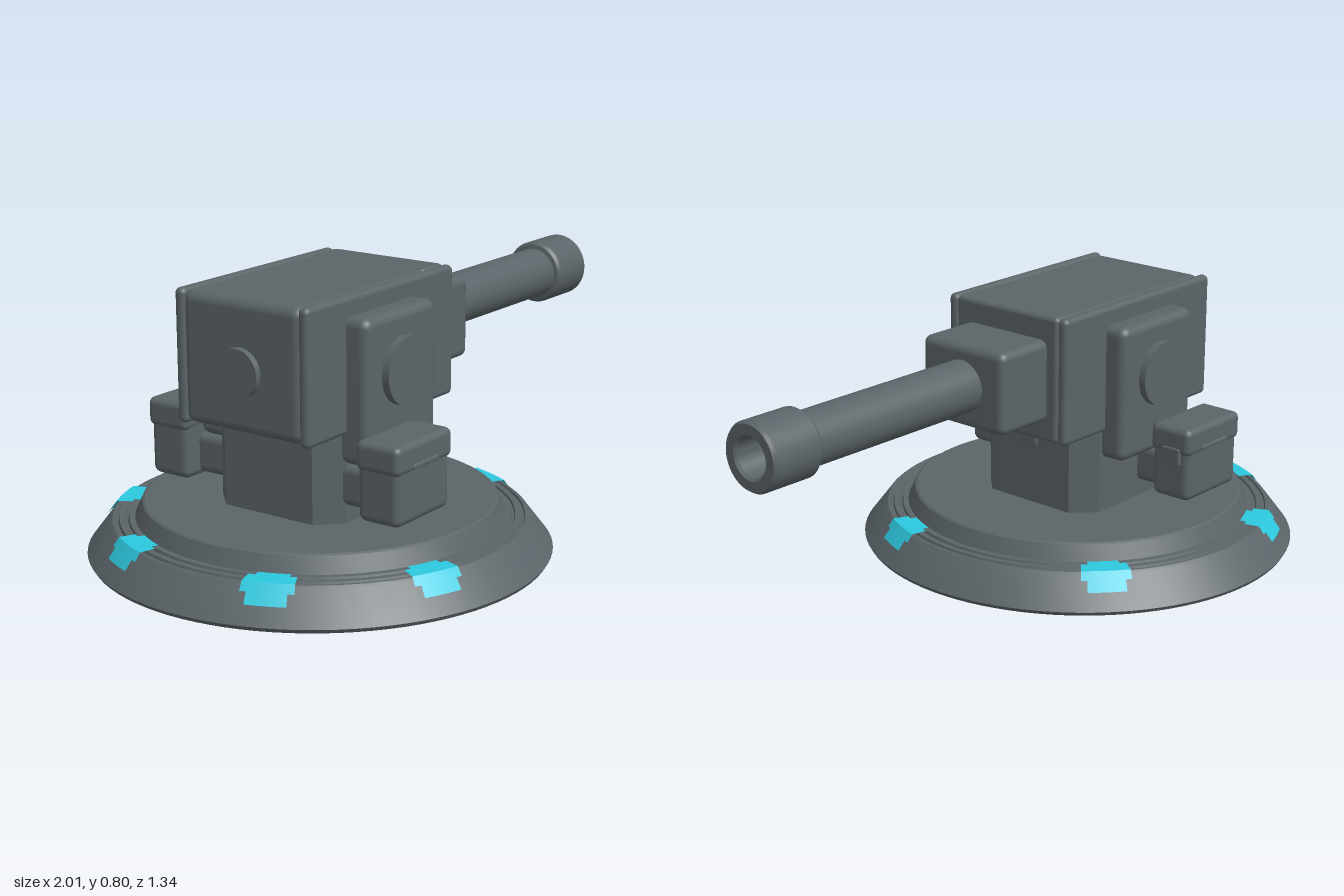
import * as THREE from 'three';
import { toCreasedNormals } from 'three/addons/utils/BufferGeometryUtils.js';
import { RoundedBoxGeometry } from 'three/addons/geometries/RoundedBoxGeometry.js';

export function createModel() {
  const model = new THREE.Group();
  model.name = 'gunTurret';
  const cx = -0.34; // turret axis
  const metal = new THREE.MeshStandardMaterial({ color: 0x5b6468 });
  metal.name = 'grey metal';
  const glow = new THREE.MeshStandardMaterial({ color: 0x2cc8de, side: THREE.DoubleSide });
  glow.name = 'cyan light';

  const add = (name, geometry, parent = model, material = metal) => {
    const mesh = new THREE.Mesh(geometry, material);
    mesh.name = name;
    parent.add(mesh);
    return mesh;
  };
  // Rounded box given by its extents on each axis
  const box = (name, [x0, x1], [y0, y1], [z0, z1], r, parent) => {
    const mesh = add(name, new RoundedBoxGeometry(x1 - x0, y1 - y0, z1 - z0, 3, r), parent);
    mesh.position.set((x0 + x1) / 2, (y0 + y1) / 2, (z0 + z1) / 2);
    return mesh;
  };
  const lathe = (points, segments = 64, start = 0, length = Math.PI * 2) =>
    toCreasedNormals(new THREE.LatheGeometry(
      points.map(([r, y]) => new THREE.Vector2(r, y)), segments, start, length), 0.4);

  // Round stepped base with shallow ring grooves
  add('base', lathe([
    [0, 0], [0.665, 0], [0.672, 0.012], [0.605, 0.1], [0.598, 0.106],
    [0.59, 0.106], [0.587, 0.1], [0.581, 0.1], [0.578, 0.108],
    [0.562, 0.108], [0.559, 0.102], [0.553, 0.102], [0.55, 0.11],
    [0.533, 0.11], [0.512, 0.156], [0.505, 0.16], [0, 0.16],
  ], 96)).position.x = cx;

  // Lights wrapped over the rim, narrower on the slope
  for (const degrees of [22.5, 112.5, 156, -156, -112.5, -47.5]) {
    const light = new THREE.Group();
    light.name = 'rimLight';
    light.position.x = cx;
    model.add(light);
    const middle = Math.PI / 2 - THREE.MathUtils.degToRad(degrees);
    const strip = (name, points, width) =>
      add(name, lathe(points, 8, middle - width / 2, width), light, glow);
    strip('lightInner', [[0.555, 0.112], [0.535, 0.112]], 0.17);
    strip('lightTop', [[0.62, 0.088], [0.603, 0.111], [0.555, 0.112]], 0.24);
    strip('lightLower', [[0.641, 0.06], [0.62, 0.088]], 0.18);
  }

  // Pedestal with cut corners
  const hx = 0.225, hz = 0.21, c = 0.06;
  const outline = new THREE.Shape([
    [-hx + c, -hz], [hx - c, -hz], [hx, -hz + c], [hx, hz - c],
    [hx - c, hz], [-hx + c, hz], [-hx, hz - c], [-hx, -hz + c],
  ].map(([x, y]) => new THREE.Vector2(x, y)));
  const pedestal = add('pedestal', new THREE.ExtrudeGeometry(outline, {
    depth: 0.28, bevelSize: 0.01, bevelThickness: 0.01, bevelSegments: 2,
  }));
  pedestal.rotation.x = -Math.PI / 2;
  pedestal.position.set(cx - 0.005, 0.16, 0);
  box('pedestalPlate', [-0.13, -0.104], [0.345, 0.385], [-0.03, 0.03], 0.006);

  // Main housing: core, cheeks and front band
  box('housing', [-0.69, -0.005], [0.42, 0.797], [-0.205, 0.205], 0.03);
  for (const s of [-1, 1])
    box('housingCheek', [-0.692, 0], [0.416, 0.8], s > 0 ? [0.195, 0.23] : [-0.23, -0.195], 0.016);
  box('housingFrontBand', [-0.11, 0], [0.416, 0.8], [-0.197, 0.197], 0.015);
  const rear = add('rearCap', new THREE.CylinderGeometry(0.068, 0.072, 0.04, 40));
  rear.rotation.z = Math.PI / 2;
  rear.position.set(-0.687, 0.595, 0);

  // Side plates, hubs and equipment boxes, mirrored across z
  for (const s of [-1, 1]) {
    const side = new THREE.Group();
    side.name = s > 0 ? 'frontSide' : 'backSide';
    model.add(side);
    const span = (a, b) => (s > 0 ? [a, b] : [-b, -a]);
    box('sidePlate', [-0.522, -0.185], [0.33, 0.745], span(0.19, 0.298), 0.028, side);
    const hub = add('hub', new THREE.CylinderGeometry(0.098, 0.098, 0.06, 48), side);
    hub.rotation.x = Math.PI / 2;
    hub.position.set(-0.355, 0.577, s * 0.291);
    box('boxBracket', [-0.52, -0.36], [0.21, 0.33], span(0.19, 0.32), 0.025, side);
    box('equipmentBox', [-0.575, -0.325], [0.2, 0.42], span(0.3, 0.438), 0.024, side);
    box('boxLid', [-0.582, -0.318], [0.345, 0.43], span(0.298, 0.442), 0.02, side);
    box('boxLatch', [-0.33, -0.314], [0.315, 0.368], span(0.345, 0.41), 0.005, side);
    box('boxHandle', [-0.51, -0.39], [0.355, 0.37], span(0.43, 0.446), 0.005, side);
  }

  // Gun mount
  box('gunMount', [-0.03, 0.192], [0.478, 0.727], [-0.158, 0.158], 0.025);

  // Barrel and hollow muzzle turned along +x
  const gun = new THREE.Group();
  gun.name = 'gun';
  gun.rotation.z = -Math.PI / 2;
  gun.position.y = 0.603;
  model.add(gun);
  add('barrel', lathe([[0.079, 0.15], [0.079, 0.85]], 48), gun);
  add('muzzle', lathe([
    [0.078, 0.825], [0.092, 0.828], [0.1, 0.838], [0.1, 0.99], [0.093, 1],
    [0.064, 1], [0.056, 0.992], [0.052, 0.86], [0, 0.86],
  ], 48), gun);

  return model;
}
